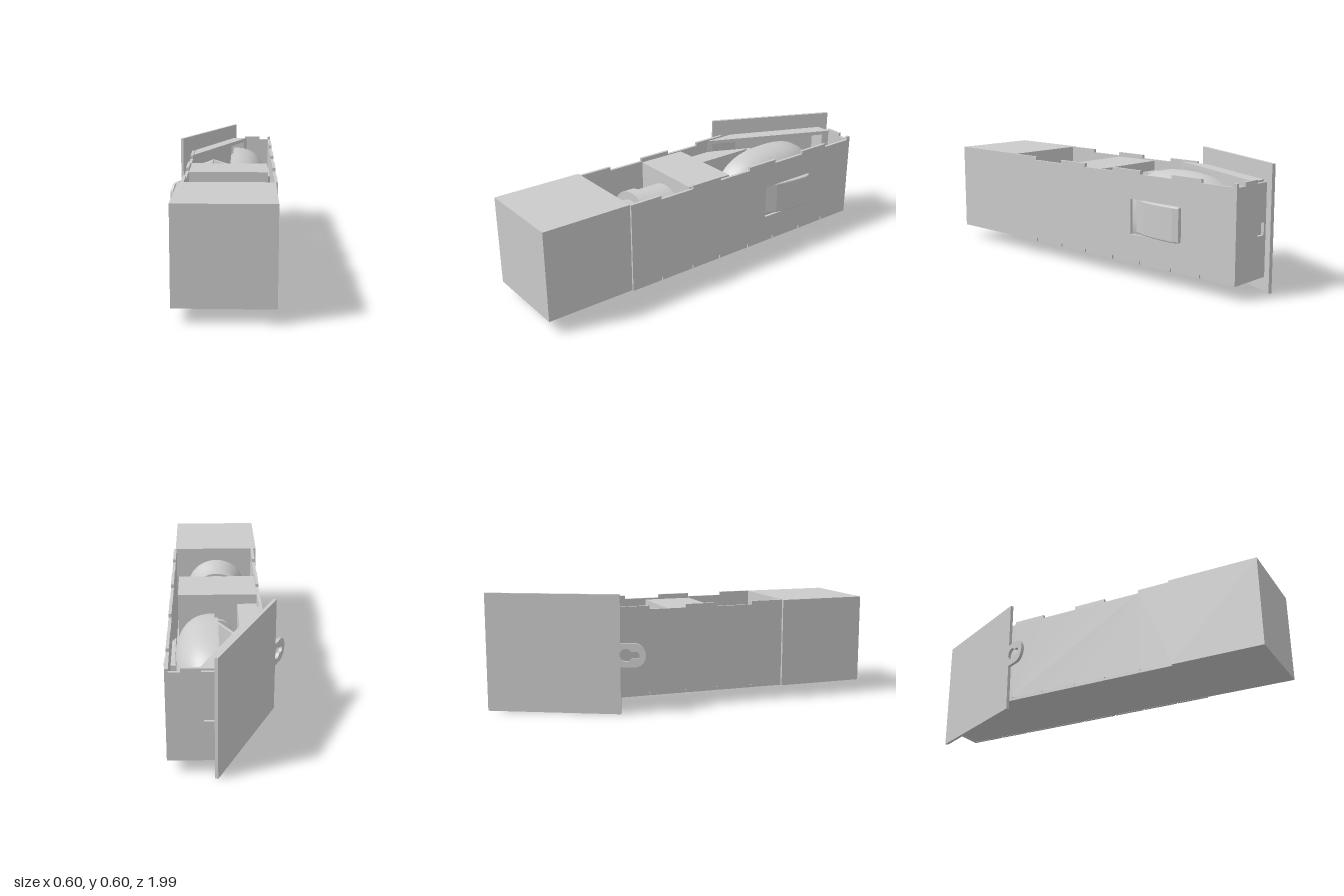
import * as THREE from 'three';

const mat = new THREE.MeshStandardMaterial({ color: 0xcccccc, side: THREE.DoubleSide });

function add(parent, name, geo) {
  const m = new THREE.Mesh(geo, mat);
  m.name = name;
  parent.add(m);
  return m;
}
const poly = (pts) => new THREE.Shape(pts.map((p) => new THREE.Vector2(p[0], p[1])));
const rectHole = (a, b, c, d) => new THREE.Path([[a, c], [b, c], [b, d], [a, d]].map((p) => new THREE.Vector2(...p)));
const extrude = (shape, depth, extra = {}) =>
  new THREE.ExtrudeGeometry(shape, { depth, bevelEnabled: false, curveSegments: 20, ...extra });
// box given by its min and max corners
function box(x0, x1, y0, y1, z0, z1) {
  return new THREE.BoxGeometry(x1 - x0, y1 - y0, z1 - z0).translate((x0 + x1) / 2, (y0 + y1) / 2, (z0 + z1) / 2);
}
// slab drawn in plan as (x, z), between two heights
const slab = (pts, y0, y1) => extrude(poly(pts), y1 - y0).rotateX(Math.PI / 2).translate(0, y1, 0);
// side wall drawn as (z, y), its outer or inner face at x1
const sideWall = (shape, x1, t) => extrude(shape, t).rotateY(-Math.PI / 2).translate(x1, 0, 0);

const FLOOR = 0.07, HIGH = 0.533, LOW = 0.515, T = 0.015;
const STEPS = [0.36, 0.165, -0.01, -0.205, -0.385, -0.58, -0.755, -0.93];

// wall outline with finger-joint steps on top and small relief slots below
function steppedWall(zEnd) {
  const pts = [[0.535, FLOOR], [0.535, HIGH]];
  const steps = STEPS.filter((z) => z > zEnd);
  let h = HIGH;
  for (const z of steps) {
    pts.push([z, h]);
    h = h === HIGH ? LOW : HIGH;
    pts.push([z, h]);
  }
  pts.push([zEnd, h], [zEnd, FLOOR]);
  for (const z of steps.filter((s) => s > -0.9).reverse()) {
    pts.push([z - 0.004, FLOOR], [z - 0.004, FLOOR + 0.018], [z + 0.004, FLOOR + 0.018], [z + 0.004, FLOOR]);
  }
  return poly(pts);
}

function buildCase() {
  const g = new THREE.Group();
  g.name = 'case';
  add(g, 'frontBlock', box(-0.195, 0.268, FLOOR, HIGH, 0.535, 1));
  add(g, 'floor', slab([[-0.18, 0.535], [0.27, 0.535], [0.27, -0.948], [0.045, -0.948], [-0.18, -0.46]], FLOOR + 0.001, FLOOR + T));
  const left = steppedWall(-0.45);
  add(g, 'leftHandWall', sideWall(left, -0.165, T));
  const right = steppedWall(-0.95);
  right.holes.push(rectHole(-0.64, -0.325, 0.215, 0.39));
  add(g, 'switchWall', sideWall(right, 0.278, T));
  // rear wall with a stepped top and a small cable opening
  const rear = poly([[0.045, FLOOR], [0.264, FLOOR], [0.264, LOW], [0.21, LOW], [0.21, HIGH], [0.12, HIGH], [0.12, LOW], [0.045, LOW]]);
  rear.holes.push(rectHole(0.06, 0.11, 0.27, 0.33));
  add(g, 'rearWall', extrude(rear, T).translate(0, 0, -0.95));
  return g;
}

// slanted mounting plate with a keyhole tab
function buildPlate() {
  const s = new THREE.Shape();
  s.moveTo(0.128, 0);
  s.lineTo(0.812, 0);
  s.lineTo(0.812, 0.603);
  s.lineTo(0.128, 0.603);
  s.lineTo(0.128, 0.361);
  s.lineTo(0.06, 0.361);
  s.absarc(0.06, 0.301, 0.06, Math.PI / 2, Math.PI * 1.5, false);
  s.lineTo(0.128, 0.241);
  s.closePath();
  const k = new THREE.Path();
  const a = Math.asin(0.018 / 0.032);
  k.absarc(0.1, 0.301, 0.032, -Math.PI + a, Math.PI - a, false);
  k.absarc(0.05, 0.301, 0.018, Math.PI / 2, Math.PI * 1.5, false);
  k.closePath();
  s.holes.push(k);
  const g = new THREE.Group();
  g.name = 'mountingPlate';
  add(g, 'keyholePlate', extrude(s, 0.016));
  g.position.set(-0.3, 0, -0.262);
  g.rotation.y = 1.126;
  return g;
}

// hollow slanted frame behind the plate
function buildFrame() {
  const g = new THREE.Group();
  g.name = 'slantedFrame';
  const plan = [[-0.165, -0.45], [-0.165, -0.28], [0.13, -0.935], [0.05, -0.935]];
  add(g, 'frameTop', slab(plan, 0.505, 0.525));
  add(g, 'frameBottom', slab(plan, 0.085, 0.105));
  add(g, 'framePostFront', slab([[-0.165, -0.45], [-0.165, -0.28], [-0.152, -0.309], [-0.152, -0.475]], 0.1, 0.51));
  add(g, 'framePostRear', slab([[0.13, -0.935], [0.05, -0.935], [0.035, -0.9], [0.114, -0.9]], 0.1, 0.51));
  return g;
}

// domed body lying on its side, flat towards -x
function buildDome() {
  const geo = new THREE.SphereGeometry(1, 48, 48).rotateZ(-Math.PI / 2);
  const p = geo.attributes.position;
  const e = 2.5;
  const v = new THREE.Vector3();
  for (let i = 0; i < p.count; i++) {
    v.fromBufferAttribute(p, i);
    const n = (Math.abs(v.x) ** e + Math.abs(v.y) ** e + Math.abs(v.z) ** e) ** (1 / e);
    v.divideScalar(n);
    p.setXYZ(i, 0.055 + 0.195 * Math.max(v.x, 0), 0.301 + 0.222 * v.y, -0.49 + 0.32 * v.z);
  }
  geo.computeVertexNormals();
  return geo;
}

function buildInside() {
  const g = new THREE.Group();
  g.name = 'innerParts';
  add(g, 'domedBody', buildDome());
  add(g, 'domeBase', box(0.037, 0.056, 0.14, 0.46, -0.725, -0.27));
  add(g, 'sideSupport', slab([[-0.165, -0.1], [-0.065, -0.1], [-0.065, -0.51], [-0.165, -0.29]], 0.085, 0.46));
  add(g, 'diagonalBrace', slab([[-0.065, -0.52], [0.04, -0.34], [0.04, -0.31], [-0.065, -0.49]], 0.085, 0.46));
  // block with a lens barrel that flares towards the front
  add(g, 'lensBlock', box(-0.165, 0.24, 0.1, 0.51, -0.095, 0.16));
  const disc = new THREE.CylinderGeometry(0.072, 0.072, 0.02, 32).rotateX(Math.PI / 2).translate(0.035, 0.301, -0.104);
  add(g, 'rearCap', disc);
  const lathe = (name, pts) => add(g, name, new THREE.LatheGeometry(pts.map((q) => new THREE.Vector2(...q)), 48)
    .rotateX(Math.PI / 2).translate(0.035, 0.301, 0));
  const ring = (name, r, z0, z1) => add(g, name, new THREE.CylinderGeometry(r, r, z1 - z0, 48)
    .rotateX(Math.PI / 2).translate(0.035, 0.301, (z0 + z1) / 2));
  ring('lensBarrel', 0.15, 0.16, 0.32);
  ring('lensCollar', 0.162, 0.315, 0.37);
  ring('lensNeck', 0.12, 0.37, 0.4);
  lathe('lensFlare', [[0.118, 0.4], [0.124, 0.425], [0.136, 0.46], [0.149, 0.495], [0.158, 0.515], [0.163, 0.535]]);
  return g;
}

// rocker that pokes through the wall opening
function buildRocker() {
  const b = 0.008;
  const s = poly([[0.245, -0.625], [0.283, -0.625], [0.289, -0.6], [0.286, -0.53], [0.278, -0.46], [0.268, -0.41], [0.245, -0.345]]);
  return extrude(s, 0.172 - 2 * b, { bevelEnabled: true, bevelSize: b, bevelThickness: b, bevelSegments: 4 })
    .rotateX(Math.PI / 2).translate(0, 0.388 - b, 0);
}

export function createModel() {
  const model = new THREE.Group();
  model.name = 'boxedDevice';
  model.add(buildCase(), buildPlate(), buildFrame(), buildInside());
  add(model, 'rockerSwitch', buildRocker());
  return model;
}
